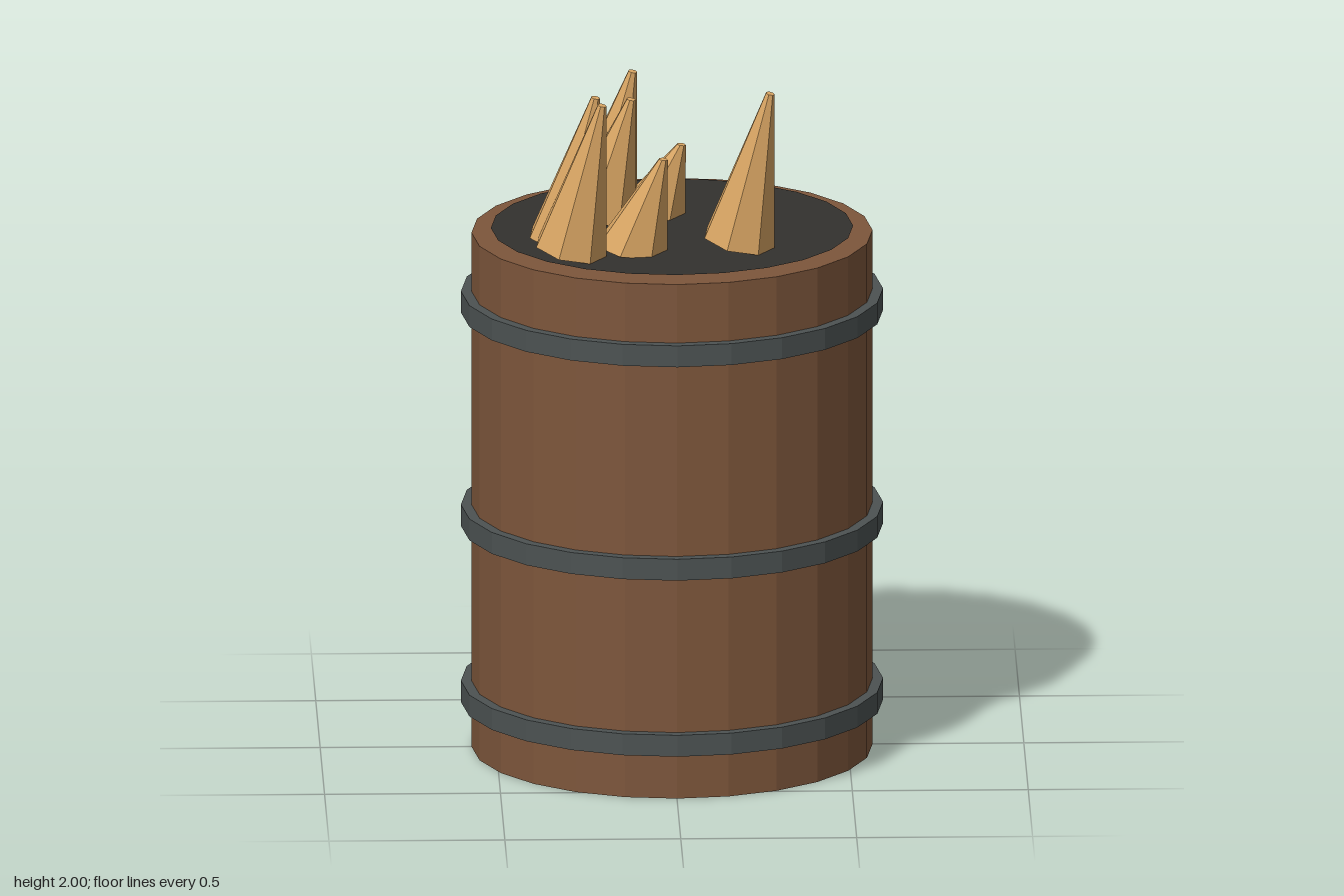
import * as THREE from 'three';

const SIDES = 24;
const paint = (color) => new THREE.MeshStandardMaterial({ color, flatShading: true });

export function createModel() {
  const model = new THREE.Group();
  const wood = paint(0x7d563b);
  const iron = paint(0x4c5252);
  const dark = paint(0x33312e);
  const straw = paint(0xdba764);

  const add = (name, geometry, material, x, y, z) => {
    const mesh = new THREE.Mesh(geometry, material);
    mesh.name = name;
    mesh.position.set(x, y, z);
    model.add(mesh);
    return mesh;
  };

  // Barrel body
  add('barrelBody', new THREE.CylinderGeometry(0.57, 0.57, 1.515, SIDES), wood, 0, 0.7575, 0);

  // Iron hoops
  const hoop = new THREE.CylinderGeometry(0.6, 0.6, 0.063, SIDES);
  [0.163, 0.682, 1.311].forEach((y, i) => add(`hoop${i + 1}`, hoop, iron, 0, y, 0));

  // Dark lid, a thin disc just above the rim
  const lid = new THREE.CircleGeometry(0.515, SIDES).rotateX(-Math.PI / 2);
  add('lid', lid, dark, 0, 1.528, 0).material.side = THREE.DoubleSide;

  // One leaning seven-sided spike, with its base centre at the origin
  const lean = new THREE.Vector3(0.089, 0.447, 0.058);
  const spike = new THREE.CylinderGeometry(0.013, 0.105, lean.length(), 7);
  spike.translate(0, lean.length() / 2, 0).rotateY(0.57);
  spike.applyQuaternion(new THREE.Quaternion().setFromUnitVectors(
    new THREE.Vector3(0, 1, 0), lean.clone().normalize()));

  // Spikes by tip position, stretched to their own heights
  const tips = [
    [0.272, 2.0, 0.282],
    [-0.032, 1.81, 0.292],
    [-0.224, 1.985, 0.26],
    [-0.208, 1.99, 0.362],
    [-0.109, 1.96, -0.109],
    [0.029, 1.745, -0.099],
    [-0.115, 1.895, -0.045],
  ];
  tips.forEach(([x, y, z], i) => {
    const base = 1.53 + 0.08 * (y - 1.745);
    const mesh = add(`spike${i + 1}`, spike, straw, x - lean.x, base, z - lean.z);
    mesh.scale.y = (y - base) / (lean.y + 0.003);
  });

  return model;
}
